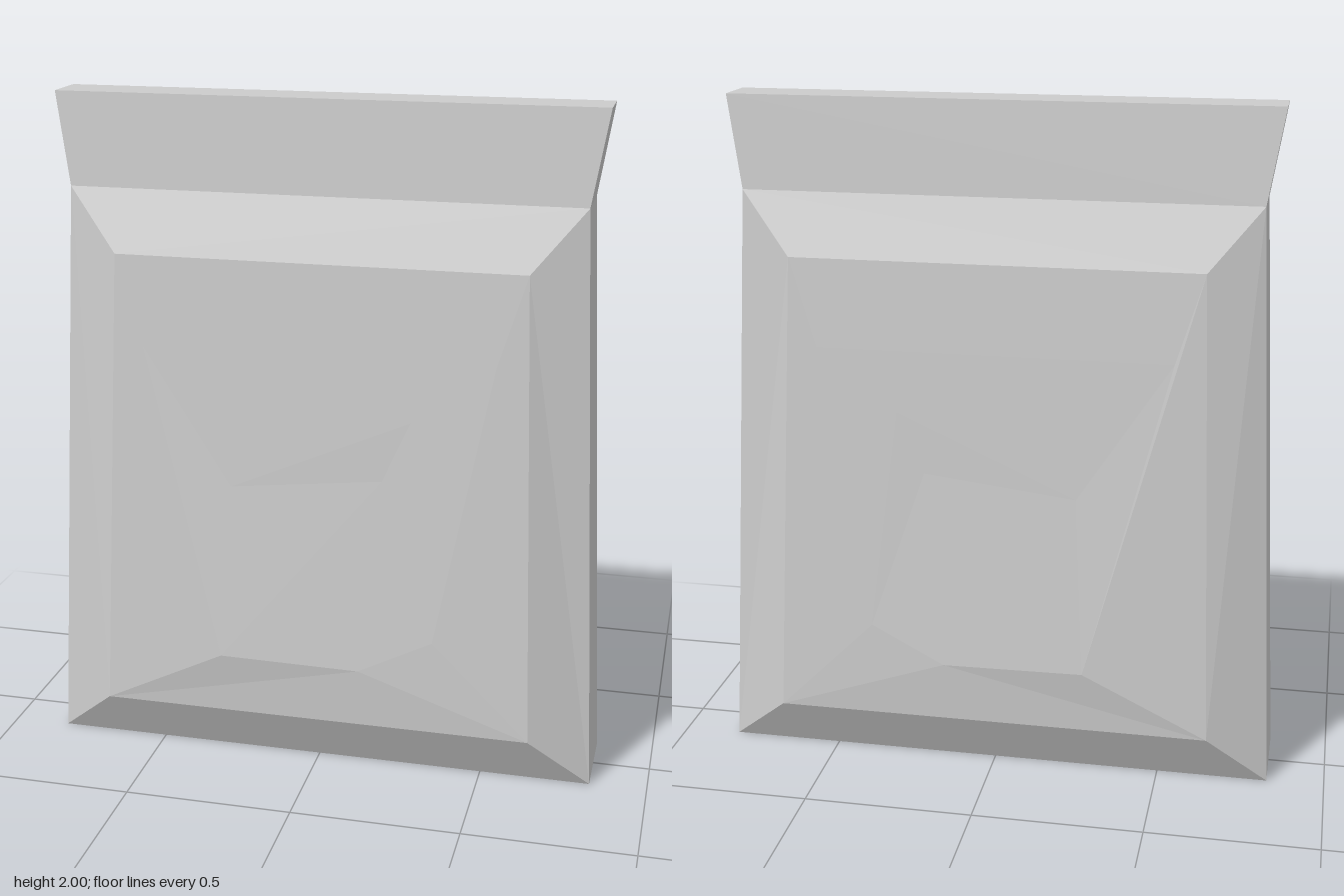
import * as THREE from 'three';

// Nested rings of one face, each counter-clockwise from the lower left:
// lower left, lower right, right, upper right, upper left
const rim = [[-0.83, 0, 0.133], [0.83, 0, 0.133], [0.83, 0, 0.133], [0.75, 1.73, 0.095], [-0.75, 1.73, 0.095]];
const panel = [[-0.65, 0.16, 0.22], [0.65, 0.16, 0.22], [0.65, 0.16, 0.22], [0.6, 1.55, 0.16], [-0.6, 1.55, 0.16]];
const bulge = [[-0.28, 0.35, 0.242], [0.14, 0.34, 0.232], [0.36, 0.45, 0.223], [0.52, 1.29, 0.176], [-0.52, 1.29, 0.176]];
const middle = [[-0.25, 0.88, 0.2], [0.2, 0.93, 0.193], [0.2, 0.93, 0.193], [0.28, 1.11, 0.186], [-0.29, 1.11, 0.186]];
const topEdge = [[0.795, 2, 0.073], [-0.795, 2, 0.073]];

const same = (a, b) => a.every((v, i) => v === b[i]);
const flip = ([x, y, z]) => [x, y, -z];

// Adds a quad as two triangles, skipping collapsed ones
function quad(out, a, b, c, d) {
  for (const [p, q, r] of [[a, b, c], [a, c, d]]) {
    if (!same(p, q) && !same(q, r) && !same(p, r)) out.push(p, q, r);
  }
}

function makeMesh(name, points) {
  const geometry = new THREE.BufferGeometry();
  geometry.setAttribute('position', new THREE.Float32BufferAttribute(points.flat(), 3));
  geometry.computeVertexNormals();
  const mesh = new THREE.Mesh(geometry, new THREE.MeshStandardMaterial({ color: 0xcccccc, flatShading: true }));
  mesh.name = name;
  return mesh;
}

// Padded face with the flat seal strip above it
function facePoints() {
  const out = [];
  const rings = [rim, panel, bulge, middle];
  for (let r = 0; r < rings.length - 1; r++) {
    const o = rings[r], n = rings[r + 1];
    for (let i = 0; i < 5; i++) {
      const j = (i + 1) % 5;
      quad(out, o[i], o[j], n[j], n[i]);
    }
  }
  quad(out, middle[0], middle[1], middle[3], middle[4]);
  quad(out, rim[4], rim[3], topEdge[0], topEdge[1]);
  return out;
}

export function createModel() {
  const group = new THREE.Group();
  group.name = 'paddedPouch';

  const front = facePoints();
  group.add(makeMesh('frontFace', front));

  // Back is the front mirrored in z, with the corner order reversed
  group.add(makeMesh('backFace', front.map(flip).reverse()));

  // Edge band running around the outline
  const outline = [rim[0], rim[1], rim[3], topEdge[0], topEdge[1], rim[4]];
  const band = [];
  outline.forEach((a, i) => {
    const b = outline[(i + 1) % outline.length];
    quad(band, a, flip(a), flip(b), b);
  });
  group.add(makeMesh('edgeBand', band));

  return group;
}
